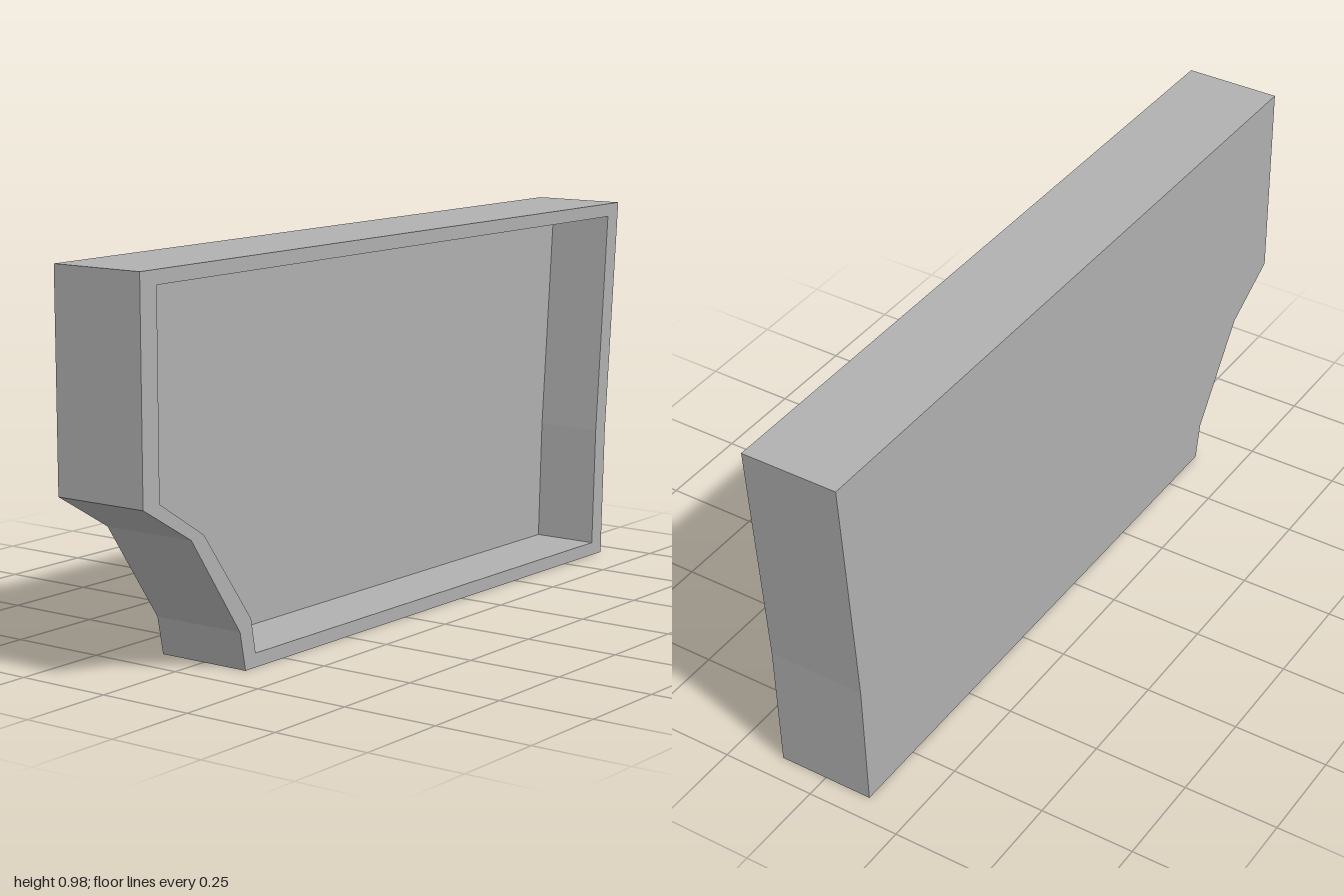
import * as THREE from 'three';

const FRONT = 0.128, BACK = -0.128, FLOOR = -0.05;

// Outlines, clockwise from the top left corner
const outer = [[-1, 0.98], [1, 0.98], [0.948, 0.35], [0.935, 0],
  [-0.645, 0], [-0.664, 0.097], [-0.836, 0.348], [-1, 0.445]];
const inner = [[-0.944, 0.945], [0.947, 0.945], [0.9, 0.353], [0.888, 0.035],
  [-0.607, 0.035], [-0.623, 0.122], [-0.791, 0.353], [-0.944, 0.45]];

const toVectors = (pts) => pts.map(([x, y]) => new THREE.Vector2(x, y));

// Flat quads between two depths; a clockwise outline faces outward
function wall(pts, zFront, zBack) {
  const pos = [];
  pts.forEach(([ax, ay], i) => {
    const [bx, by] = pts[(i + 1) % pts.length];
    pos.push(ax, ay, zFront, bx, by, zFront, bx, by, zBack,
      ax, ay, zFront, bx, by, zBack, ax, ay, zBack);
  });
  const g = new THREE.BufferGeometry();
  g.setAttribute('position', new THREE.Float32BufferAttribute(pos, 3));
  g.computeVertexNormals();
  return g;
}

export function createModel() {
  const group = new THREE.Group();
  group.name = 'recessedPanel';
  const grey = new THREE.MeshStandardMaterial({ color: 0xb0b0b0 });
  grey.name = 'grey';
  const add = (name, geometry) => {
    const mesh = new THREE.Mesh(geometry, grey);
    mesh.name = name;
    group.add(mesh);
  };

  // Narrow front rim around the recess
  const rim = new THREE.Shape(toVectors(outer));
  rim.holes.push(new THREE.Path(toVectors(inner)));
  add('frontRim', new THREE.ShapeGeometry(rim).translate(0, 0, FRONT));

  // Outer sides and the sides of the recess
  add('outerWall', wall(outer, FRONT, BACK));
  add('recessWall', wall([...inner].reverse(), FRONT, FLOOR));

  // Recess floor
  add('recessFloor', new THREE.ShapeGeometry(new THREE.Shape(toVectors(inner))).translate(0, 0, FLOOR));

  // Plain back, mirrored and then turned to face -z
  const mirrored = outer.map(([x, y]) => [-x, y]);
  add('backPanel', new THREE.ShapeGeometry(new THREE.Shape(toVectors(mirrored)))
    .translate(0, 0, -BACK).rotateY(Math.PI));

  return group;
}
